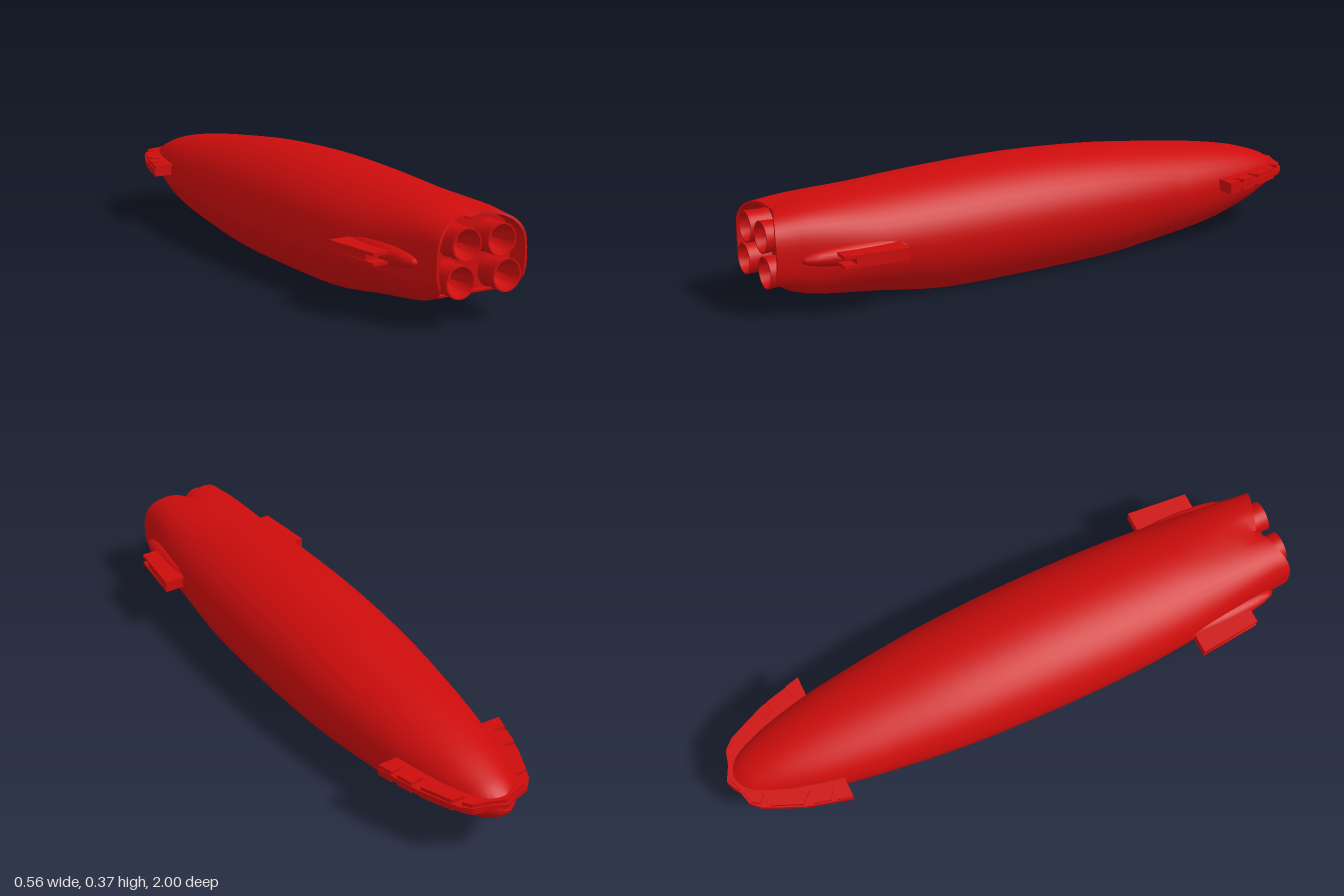
import * as THREE from 'three';
import { toCreasedNormals } from 'three/addons/utils/BufferGeometryUtils.js';

const red = new THREE.MeshStandardMaterial({ color: 0xcc0c0c, side: THREE.DoubleSide });

// Hull stations: z, half width, top, virtual keel, flat floor, height of widest line
const stations = [
  [-1.0, 0.004, 0.178, 0.168, 0, 0.173],
  [-0.985, 0.035, 0.2, 0.148, 0, 0.174],
  [-0.95, 0.07, 0.228, 0.125, 0, 0.176],
  [-0.9, 0.095, 0.25, 0.1, 0, 0.178],
  [-0.8, 0.128, 0.28, 0.06, 0, 0.18],
  [-0.65, 0.163, 0.308, 0.022, 0, 0.18],
  [-0.45, 0.192, 0.334, -0.005, 0, 0.18],
  [-0.2, 0.217, 0.36, -0.03, 0, 0.18],
  [0.1, 0.228, 0.373, -0.038, 0, 0.18],
  [0.4, 0.225, 0.366, -0.036, 0, 0.18],
  [0.65, 0.207, 0.352, 0.0, 0.03, 0.185],
  [0.85, 0.18, 0.34, 0.035, 0.058, 0.19],
  [0.93, 0.167, 0.332, 0.06, 0.08, 0.195],
];
const STEPS = 4, HALF = 18;

function mesh(name, geometry, crease = 0.6) {
  const m = new THREE.Mesh(toCreasedNormals(geometry, crease), red);
  m.name = name;
  return m;
}

// Cross-section: ellipse growing boxier aft, cut off flat at the floor
function section(z, w, top, keel, floor, mid) {
  const s = THREE.MathUtils.smoothstep(z, 0.6, 0.95);
  const e = 1 - 0.3 * s;
  const cut = Math.min(1, (mid - Math.max(0, floor)) / (mid - keel));
  const a0 = -Math.asin(Math.pow(cut, 1 / e));
  const half = [];
  for (let i = 0; i <= HALF; i++) {
    const a = THREE.MathUtils.lerp(Math.PI / 2, a0, i / HALF);
    const c = Math.pow(Math.max(0, Math.cos(a)), e);
    const sn = Math.pow(Math.abs(Math.sin(a)), e);
    const x = w * c;
    let y = a >= 0 ? mid + (top - mid) * sn : mid - (mid - keel) * sn;
    // Shallow valley between the upper engines
    if (a > 0) y -= 0.02 * THREE.MathUtils.smoothstep(z, 0.84, 0.95) * Math.exp(-((x / 0.03) ** 2));
    half.push([x, y, z]);
  }
  const left = half.slice(1).reverse().map(([x, y]) => [-x, y, z]);
  return [...half, [0, half[HALF][1], z], ...left];
}

function loft(rings) {
  const n = rings[0].length, index = [];
  for (let j = 0; j < rings.length - 1; j++)
    for (let i = 0; i < n; i++) {
      const k = (i + 1) % n;
      const a = j * n + i, b = j * n + k, c = a + n, d = b + n;
      index.push(a, c, b, b, c, d);
    }
  const g = new THREE.BufferGeometry();
  g.setAttribute('position', new THREE.Float32BufferAttribute(rings.flat(2), 3));
  g.setIndex(index);
  return g;
}

function hullGeometry() {
  const curveA = new THREE.CatmullRomCurve3(stations.map(s => new THREE.Vector3(s[0], s[1], s[2])), false, 'catmullrom');
  const curveB = new THREE.CatmullRomCurve3(stations.map(s => new THREE.Vector3(s[3], s[4], s[5])), false, 'catmullrom');
  const rings = [], total = (stations.length - 1) * STEPS;
  for (let j = 0; j <= total; j++) {
    const p = curveA.getPoint(j / total), q = curveB.getPoint(j / total);
    rings.push(section(p.x, p.y, p.z, q.x, q.y, q.z));
  }
  // Scalloped rear lip, turned inward to a recessed back plate
  const last = rings[rings.length - 1];
  const ring = (scale, z) => last.map(([x, y]) => [x * scale, 0.2 + (y - 0.2) * scale, z(x, y)]);
  const lipZ = (x, y) => 0.935 + 0.055 * Math.min(1, Math.abs(x) / 0.16) * THREE.MathUtils.smoothstep(y, 0.07, 0.12);
  rings.push(ring(0.97, lipZ), ring(0.92, lipZ), ring(0.9, () => 0.925), ring(0, () => 0.925));
  return loft(rings);
}

// Horizontal plate from an x/z outline between two heights
function slab(name, outline, y0, y1) {
  const shape = new THREE.Shape(outline.map(([x, z]) => new THREE.Vector2(x, -z)));
  const g = new THREE.ExtrudeGeometry(shape, { depth: y1 - y0, bevelEnabled: false });
  g.rotateX(-Math.PI / 2).translate(0, y0, 0);
  return mesh(name, g, 0.4);
}

function noseFin() {
  const fin = new THREE.Group();
  const root = [[0.1, -0.65], [0, -0.8]];
  const core = [[0, -1], [0.05, -0.975], [0.1, -0.962], [0.13, -0.93], [0.16, -0.865], [0.188, -0.8], [0.21, -0.72], [0.228, -0.65], ...root];
  // Outer skins carry three gun notches along the leading edge
  const skin = [[0, -0.99], [0.05, -0.97], [0.1, -0.955], [0.118, -0.93], [0.09, -0.91], [0.138, -0.905],
    [0.18, -0.805], [0.145, -0.77], [0.192, -0.775], [0.206, -0.72], [0.165, -0.695], [0.213, -0.7], [0.226, -0.65], ...root];
  fin.add(
    slab('noseFinCore', core, 0.183, 0.2),
    slab('noseFinTop', skin, 0.2, 0.212),
    slab('noseFinBottom', skin, 0.173, 0.183));
  fin.name = 'noseFin';
  return fin;
}

function rearFin() {
  const fin = new THREE.Group();
  const outline = back => [[0.14, 0.605], [0.28, 0.605], [0.26, back], [0.14, back]];
  fin.add(
    slab('rearFinTop', outline(0.815), 0.2, 0.21),
    slab('rearFinCore', outline(0.775), 0.18, 0.2),
    slab('rearFinBottom', outline(0.815), 0.17, 0.18));
  // Smooth fairing where the fin meets the hull
  const fairing = mesh('rearFinFairing', new THREE.SphereGeometry(1, 20, 14));
  fairing.scale.set(0.04, 0.035, 0.22);
  fairing.position.set(0.18, 0.19, 0.7);
  fin.add(fairing);
  fin.name = 'rearFin';
  return fin;
}

function engineGeometry() {
  const profile = [[0, 0.72], [0.025, 0.77], [0.045, 0.84], [0.055, 0.91], [0.048, 0.94], [0.051, 1],
    [0.046, 1], [0.038, 0.965], [0.022, 0.935], [0.018, 0.915], [0, 0.91]];
  const g = new THREE.LatheGeometry(profile.map(([r, h]) => new THREE.Vector2(r, h)), 24);
  return g.rotateX(Math.PI / 2);
}

export function createModel() {
  const model = new THREE.Group();
  model.name = 'rocketShip';
  model.add(mesh('hull', hullGeometry()));

  for (const side of [1, -1]) {
    const label = side > 0 ? 'left' : 'right';
    const fins = new THREE.Group();
    fins.name = label + 'Fins';
    fins.add(noseFin(), rearFin());
    fins.scale.x = side;
    model.add(fins);

    // Upper and lower engine bells
    for (const [x, y, level] of [[0.062, 0.248, 'Upper'], [0.083, 0.14, 'Lower']]) {
      const engine = mesh(label + level + 'Engine', engineGeometry());
      engine.position.set(side * x, y, 0);
      model.add(engine);
    }
  }
  return model;
}
